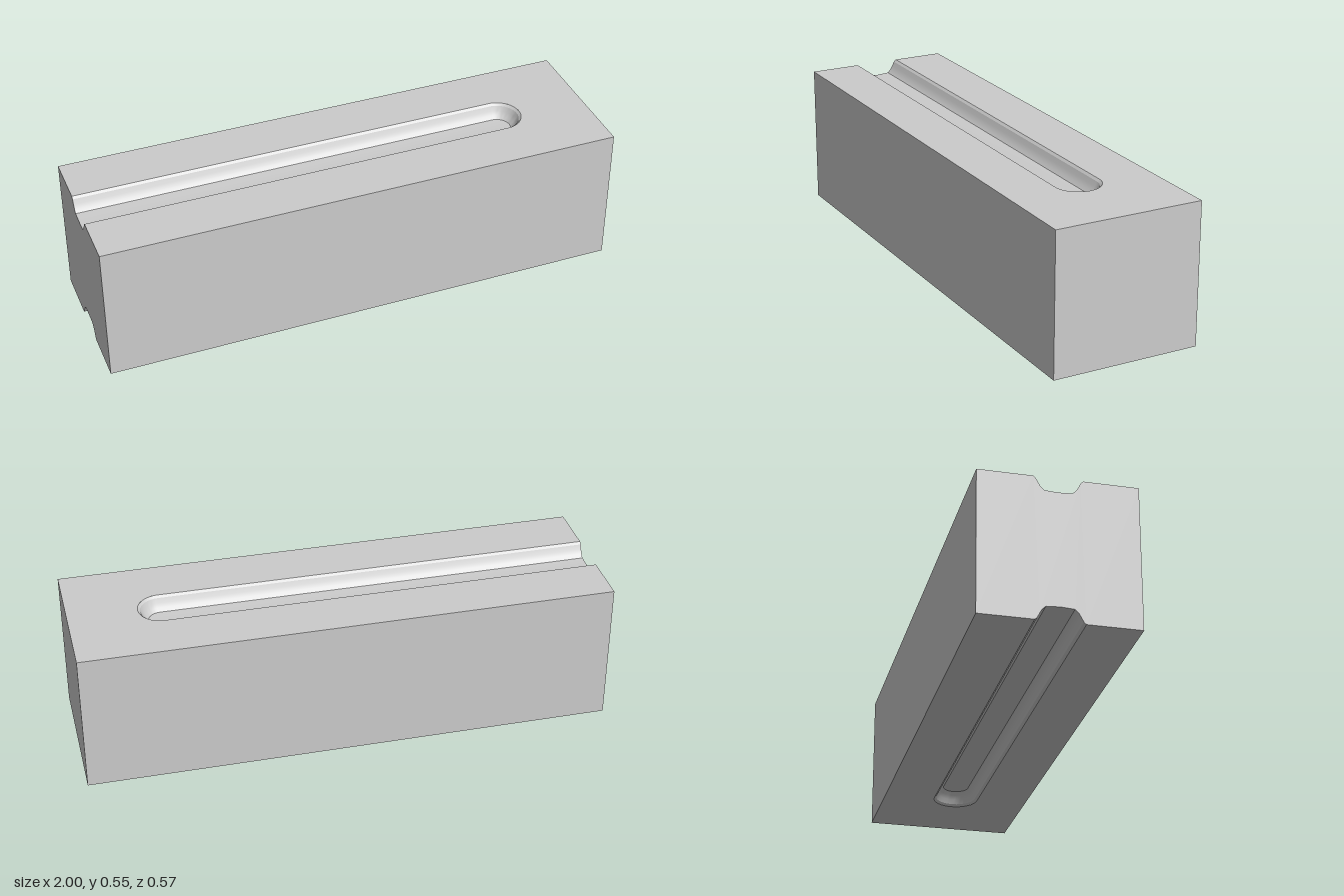
import * as THREE from 'three';
import { toCreasedNormals } from 'three/addons/utils/BufferGeometryUtils.js';

const L = 2, H = 0.545, D = 0.572;   // block size
const END = 0.653;                   // centre of the groove's round end
// Groove profile: [half width, depth], chamfered rim, curved wall, flat floor
const PROFILE = [[0.088, 0], [0.079, 0.008], [0.071, 0.025], [0.062, 0.04], [0.05, 0.052], [0, 0.055]];
const RIM = PROFILE[0][0];
const material = new THREE.MeshStandardMaterial({ color: 0xcccccc });

function part(name, geometry, parent) {
  const mesh = new THREE.Mesh(geometry, material);
  mesh.name = name;
  parent.add(mesh);
  return mesh;
}

// Channel open at x = -1: the profile swept along a U-shaped path
function grooveGeometry() {
  const arc = 24, cols = arc + 2;
  const geometry = new THREE.PlaneGeometry(1, 1, cols, PROFILE.length - 1);
  const pos = geometry.attributes.position;
  for (let k = 0; k < pos.count; k++) {
    const i = k % (cols + 1);
    const [r, depth] = PROFILE[Math.floor(k / (cols + 1))];
    const a = (Math.min(Math.max(i - 1, 0), arc) / arc - 0.5) * Math.PI;
    const x = i === 0 || i === cols ? -L / 2 : END + r * Math.cos(a);
    pos.setXYZ(k, x, H - depth, r * Math.sin(a));
  }
  return toCreasedNormals(geometry, 0.4);
}

// Flat face surrounding the groove
function faceGeometry() {
  const s = new THREE.Shape();
  s.moveTo(-L / 2, -D / 2);
  s.lineTo(L / 2, -D / 2);
  s.lineTo(L / 2, D / 2);
  s.lineTo(-L / 2, D / 2);
  s.lineTo(-L / 2, RIM);
  s.lineTo(END, RIM);
  s.absarc(END, 0, RIM, Math.PI / 2, -Math.PI / 2, true);
  s.lineTo(-L / 2, -RIM);
  return new THREE.ShapeGeometry(s, 24).rotateX(-Math.PI / 2).translate(0, H, 0);
}

// End wall notched by both grooves
function notchedEndGeometry() {
  const across = [
    ...PROFILE.map(([r, d]) => [-r, d]),
    ...PROFILE.slice(0, -1).reverse(),
  ];
  const points = [
    [-D / 2, 0], ...across, [D / 2, 0],
    [D / 2, H], ...across.map(([z, d]) => [-z, H - d]), [-D / 2, H],
  ].map(([z, y]) => new THREE.Vector2(z, y));
  return new THREE.ShapeGeometry(new THREE.Shape(points)).rotateY(-Math.PI / 2);
}

export function createModel() {
  const model = new THREE.Group();
  model.name = 'groovedBlock';

  // Grooved top, and the same turned over for the bottom
  for (const side of ['top', 'bottom']) {
    const group = new THREE.Group();
    group.name = side;
    part(side + 'Face', faceGeometry(), group);
    part(side + 'Groove', grooveGeometry(), group);
    if (side === 'bottom') {
      group.rotation.x = Math.PI;
      group.position.y = H;
    }
    model.add(group);
  }

  // Long side walls
  part('frontWall', new THREE.PlaneGeometry(L, H), model).position.set(0, H / 2, D / 2);
  const back = part('backWall', new THREE.PlaneGeometry(L, H), model);
  back.rotation.y = Math.PI;
  back.position.set(0, H / 2, -D / 2);

  // Plain end and notched end
  const plain = part('plainEnd', new THREE.PlaneGeometry(D, H), model);
  plain.rotation.y = Math.PI / 2;
  plain.position.set(L / 2, H / 2, 0);
  part('notchedEnd', notchedEndGeometry(), model).position.x = -L / 2;

  return model;
}
